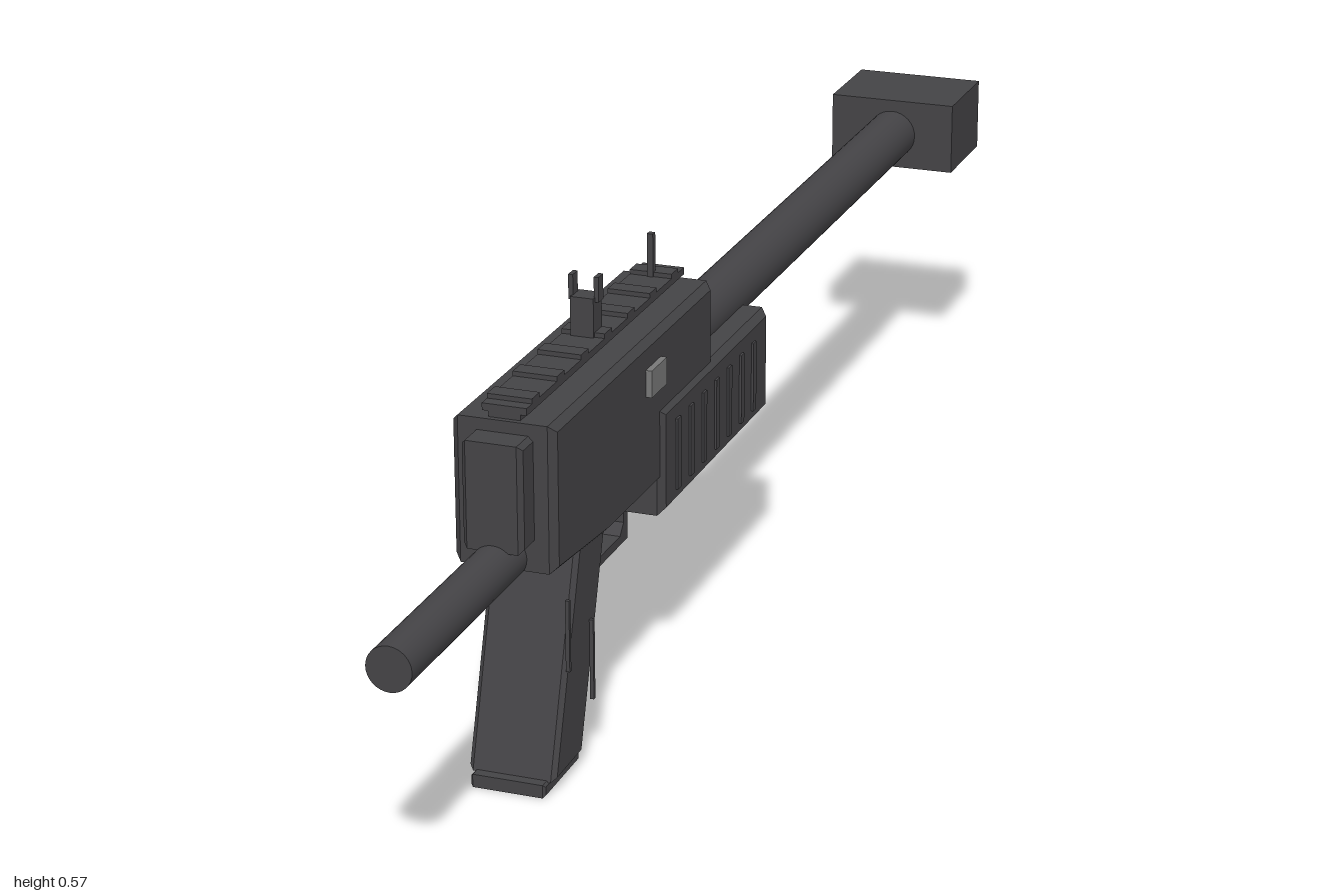
import * as THREE from 'three';

const gunmetal = new THREE.MeshStandardMaterial({ color: 0x444346 });
gunmetal.name = 'dark gunmetal';
const steel = new THREE.MeshStandardMaterial({ color: 0x777777 });
steel.name = 'grey steel';

export function createModel() {
  const root = new THREE.Group();
  root.name = 'rifle';

  function add(name, geometry, material = gunmetal) {
    const mesh = new THREE.Mesh(geometry, material);
    mesh.name = name;
    root.add(mesh);
    return mesh;
  }

  // box given by its limits on each axis
  function box(name, x0, x1, y0, y1, z0, z1, material) {
    const g = new THREE.BoxGeometry(x1 - x0, y1 - y0, z1 - z0);
    g.translate((x0 + x1) / 2, (y0 + y1) / 2, (z0 + z1) / 2);
    return add(name, g, material);
  }

  // side outline of [z, y] points, widened across x with chamfered edges
  function slab(name, points, width, bevel) {
    const shape = new THREE.Shape(points.map(([z, y]) => new THREE.Vector2(z, y)));
    const depth = width - 2 * bevel;
    const g = new THREE.ExtrudeGeometry(shape, {
      depth, bevelEnabled: bevel > 0, bevelSize: bevel, bevelThickness: bevel,
      bevelOffset: -bevel, bevelSegments: 1,
    });
    g.translate(0, 0, -depth / 2).rotateY(-Math.PI / 2);
    return add(name, g);
  }

  // round bar along z
  function bar(name, radius, y, z0, z1) {
    const g = new THREE.CylinderGeometry(radius, radius, z1 - z0, 32);
    g.rotateX(Math.PI / 2).translate(0, y, (z0 + z1) / 2);
    return add(name, g);
  }

  // receiver and back plate
  slab('receiver', [[0.13, 0.27], [0.5, 0.275], [0.67, 0.29], [0.67, 0.475], [0.13, 0.475]], 0.13, 0.009);
  slab('backPlate', [[0.64, 0.325], [0.706, 0.325], [0.706, 0.46], [0.64, 0.46]], 0.076, 0.006);

  // barrel, muzzle block and stock tube
  bar('barrel', 0.036, 0.378, -0.87, 0.15);
  box('muzzleBlock', -0.094, 0.094, 0.327, 0.431, -1, -0.856);
  bar('stockTube', 0.028, 0.305, 0.45, 1);

  // handguard with upright ribs on both sides
  slab('handguard', [[-0.072, 0.23], [0.328, 0.23], [0.328, 0.372], [-0.072, 0.372]], 0.142, 0.009);
  for (const side of [-1, 1]) {
    for (let i = 0; i < 7; i++) {
      const z = -0.01 + i * 0.048;
      box('handguardRib', side * 0.072 - 0.002, side * 0.072 + 0.002, 0.25, 0.345, z - 0.006, z + 0.006);
    }
  }

  // raked grip with a foot plate and thin side strips
  slab('grip', [[0.572, 0.015], [0.662, 0.015], [0.575, 0.295], [0.485, 0.295]], 0.112, 0.006);
  slab('gripFoot', [[0.563, 0], [0.675, 0], [0.675, 0.017], [0.563, 0.017]], 0.096, 0.003);
  box('gripStrip', 0.056, 0.061, 0.145, 0.237, 0.618, 0.623);
  box('gripStrip', 0.056, 0.061, 0.075, 0.18, 0.541, 0.546);

  // trigger and guard
  box('triggerPlate', -0.025, 0.025, 0.264, 0.28, 0.33, 0.47);
  slab('trigger', [[0.36, 0.225], [0.368, 0.225], [0.385, 0.27], [0.37, 0.27]], 0.014, 0);
  slab('triggerGuard', [[0.488, 0.186], [0.308, 0.186], [0.308, 0.235], [0.322, 0.235],
    [0.322, 0.212], [0.335, 0.198], [0.488, 0.198]], 0.03, 0);

  // top rail with cross ridges
  box('rail', -0.02, 0.02, 0.47, 0.486, 0.135, 0.663);
  box('railTop', -0.028, 0.028, 0.482, 0.491, 0.135, 0.663);
  for (let i = 0; i < 7; i++) {
    const z = 0.17 + i * 0.0775;
    box('railRidge', -0.028, 0.028, 0.49, 0.497, z - 0.012, z + 0.012);
  }

  // forked rear sight and front post
  box('rearSightBase', -0.015, 0.015, 0.49, 0.541, 0.39, 0.418);
  for (const side of [-1, 1]) {
    box('rearSightProng', side * 0.0165 - 0.003, side * 0.0165 + 0.003, 0.535, 0.567, 0.396, 0.412);
  }
  box('frontSightPost', -0.004, 0.004, 0.49, 0.548, 0.175, 0.184);

  // ejection port
  box('ejectionPort', 0.064, 0.073, 0.405, 0.44, 0.32, 0.373, steel);

  return root;
}
